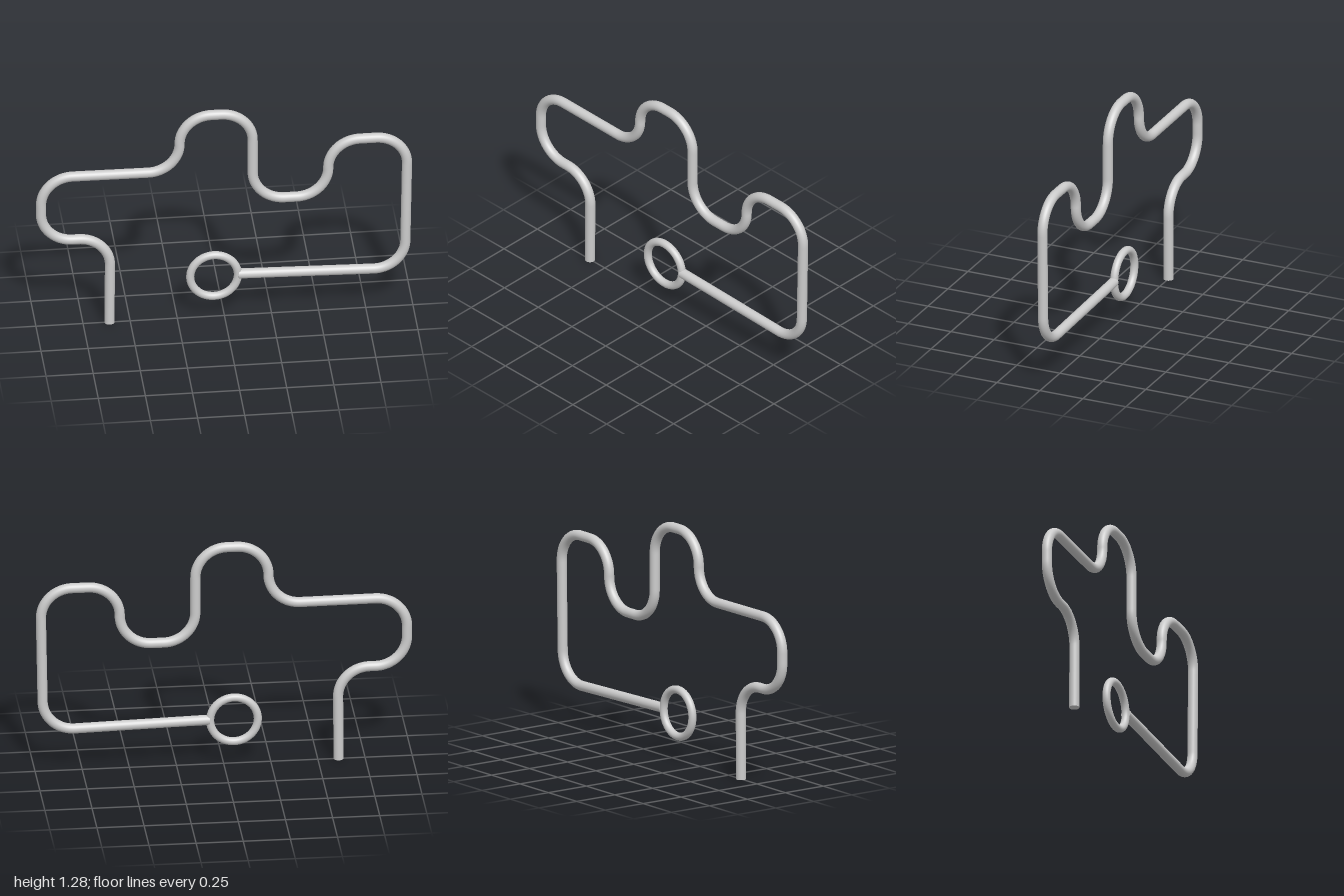
import * as THREE from 'three';

const ROD = 0.027;
const BEND = 0.168;

// Corner points of the rod; every inner corner gets a rounded bend
const CORNERS = [
  [-0.61, 0], [-0.606, 0.526], [-0.973, 0.526], [-0.973, 0.919],
  [-0.238, 0.914], [-0.238, 1.251], [0.15, 1.251], [0.15, 0.714],
  [0.551, 0.714], [0.551, 1.052], [0.972, 1.052], [0.957, 0.235], [0.074, 0.256],
].map(([x, y]) => new THREE.Vector3(x, y, 0));

// Straight runs joined by near-circular bends
function roundedPath(points, radius) {
  const path = new THREE.CurvePath();
  const toward = (from, to, d) => to.clone().sub(from).setLength(d).add(from);
  let last = points[0];
  for (let i = 1; i < points.length - 1; i++) {
    const p = points[i];
    const a = toward(p, points[i - 1], radius);
    const b = toward(p, points[i + 1], radius);
    path.add(new THREE.LineCurve3(last, a));
    path.add(new THREE.CubicBezierCurve3(a, a.clone().lerp(p, 0.5523), b.clone().lerp(p, 0.5523), b));
    last = b;
  }
  path.add(new THREE.LineCurve3(last, points[points.length - 1]));
  return path;
}

export function createModel() {
  const group = new THREE.Group();
  group.name = 'wireLoopGame';
  const material = new THREE.MeshStandardMaterial({ color: 0xcccccc });
  const add = (name, geometry) => {
    const mesh = new THREE.Mesh(geometry, material);
    mesh.name = name;
    group.add(mesh);
    return mesh;
  };

  // Bent rod
  const path = roundedPath(CORNERS, BEND);
  add('bentRod', new THREE.TubeGeometry(path, 400, ROD, 24, false));

  // Flat ends of the rod
  const addCap = (name, end, neighbour) => {
    const cap = add(name, new THREE.CircleGeometry(ROD, 24));
    const outward = end.clone().sub(neighbour).normalize();
    cap.position.copy(end);
    cap.quaternion.setFromUnitVectors(new THREE.Vector3(0, 0, 1), outward);
  };
  addCap('footCap', CORNERS[0], CORNERS[1]);
  addCap('ringEndCap', CORNERS[CORNERS.length - 1], CORNERS[CORNERS.length - 2]);

  // Ring at the free end
  const ring = add('ring', new THREE.TorusGeometry(0.1265, 0.0215, 20, 64));
  ring.position.set(-0.055, 0.252, 0);

  return group;
}
